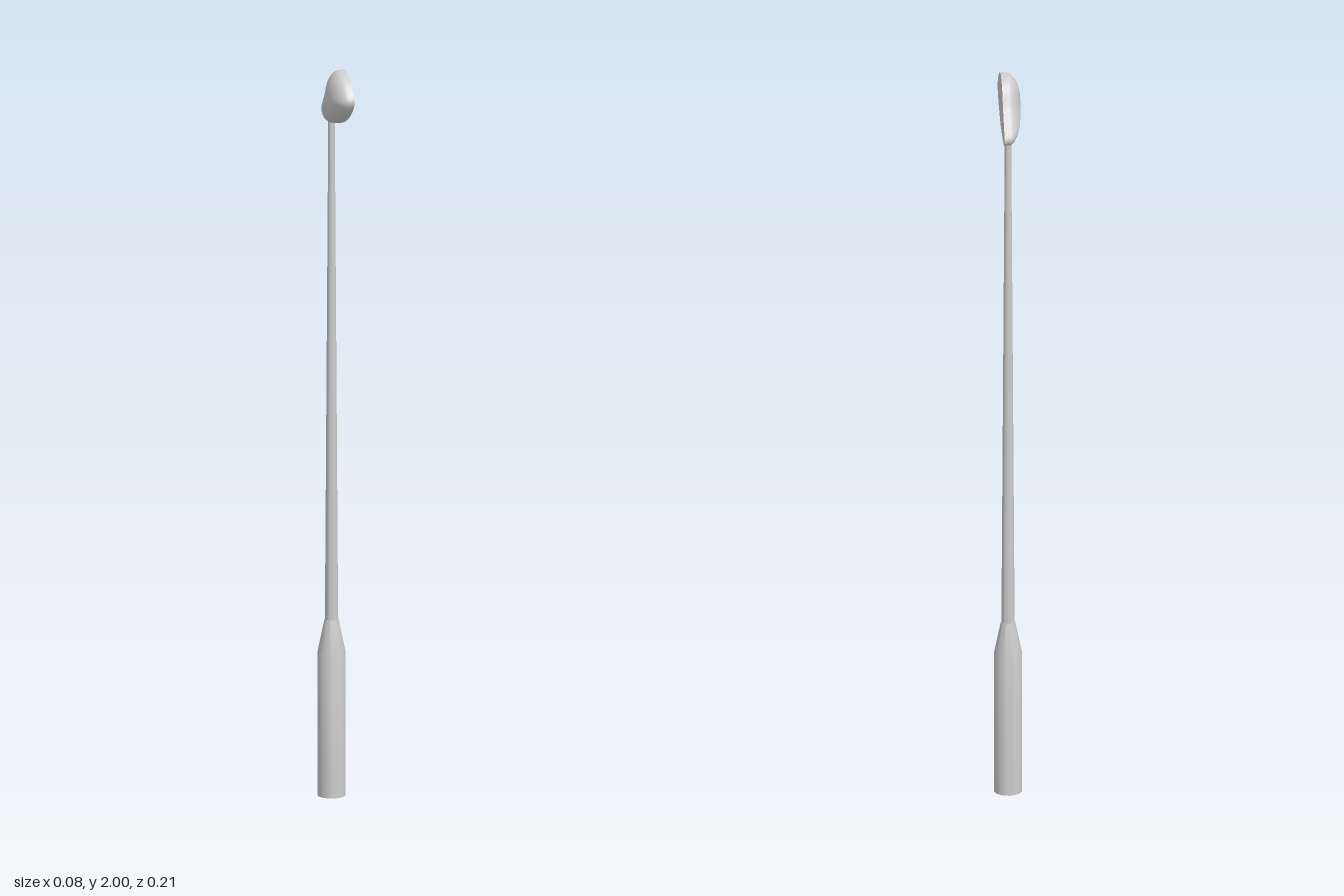
import * as THREE from 'three';
import { mergeVertices, toCreasedNormals } from 'three/addons/utils/BufferGeometryUtils.js';

const SHAFT_Z = -0.066;
const FACE_X = 0.012;
const CENTRE = { z: 0.025, y: 1.925 };

// Closed head outline as [z, y], counter-clockwise seen from +x
const OUTLINE = [
  [0.103, 1.935], [0.088, 1.908], [0.035, 1.868], [-0.035, 1.842], [-0.085, 1.839],
  [-0.102, 1.855], [-0.088, 1.882], [-0.055, 1.93], [-0.025, 1.98], [0.012, 2.0], [0.05, 1.991], [0.083, 1.966],
];

// Skin over copies of the outline; each ring is [x, scale about the centre]
function loft(rings, segments = 64) {
  const curve = new THREE.CatmullRomCurve3(OUTLINE.map(([z, y]) => new THREE.Vector3(0, y, z)), true);
  const outline = curve.getSpacedPoints(segments).slice(0, segments);
  const positions = [];
  const index = [];
  for (const [x, s] of rings) {
    for (const p of outline) {
      positions.push(x, CENTRE.y + (p.y - CENTRE.y) * s, CENTRE.z + (p.z - CENTRE.z) * s);
    }
  }
  for (let j = 0; j < rings.length - 1; j++) {
    for (let i = 0; i < segments; i++) {
      const k = (i + 1) % segments;
      const a = j * segments + i, b = (j + 1) * segments + i;
      const c = (j + 1) * segments + k, d = j * segments + k;
      index.push(a, b, c, a, c, d);
    }
  }
  let geometry = new THREE.BufferGeometry();
  geometry.setAttribute('position', new THREE.Float32BufferAttribute(positions, 3));
  geometry.setIndex(index);
  geometry = mergeVertices(geometry, 1e-6);
  geometry.computeVertexNormals();
  return geometry;
}

export function createModel() {
  const group = new THREE.Group();
  const material = new THREE.MeshStandardMaterial({ color: 0xcccccc });
  const add = (geometry, name, parent = group) => {
    const mesh = new THREE.Mesh(geometry, material);
    mesh.name = name;
    parent.add(mesh);
    return mesh;
  };
  const turned = (points) => toCreasedNormals(
    new THREE.LatheGeometry(points.map(([r, y]) => new THREE.Vector2(r, y)), 32), 0.5);

  // Grip with its tapered collar, then the slim shaft
  add(turned([[0, 0], [0.037, 0], [0.037, 0.39], [0.0185, 0.48], [0, 0.48]]), 'grip').position.z = SHAFT_Z;
  add(turned([[0.0175, 0.47], [0.0085, 1.855], [0, 1.855]]), 'shaft').position.z = SHAFT_Z;

  // Flat striking face and the domed back behind it
  const head = new THREE.Group();
  head.name = 'head';
  group.add(head);
  add(loft([[FACE_X, 0], [FACE_X, 1]]), 'strikingFace', head);
  const back = [[FACE_X, 1]];
  const steps = 14;
  for (let i = 0; i <= steps; i++) {
    const a = (i / steps) * Math.PI / 2;
    back.push([-0.04 * Math.sin(a), i === steps ? 0 : Math.cos(a)]);
  }
  add(loft(back), 'domedBack', head);

  // Small marks in staggered rows on the striking face
  const dot = new THREE.CircleGeometry(0.0022, 8).rotateY(Math.PI / 2);
  for (let row = 0; row < 6; row++) {
    const count = [3, 4, 4, 4, 3, 2][row];
    for (let i = 0; i < count; i++) {
      const z = 0.012 + (i - (count - 1) / 2) * 0.024;
      add(dot, 'faceMark', head).position.set(FACE_X + 0.0004, 1.885 + row * 0.018, z);
    }
  }
  return group;
}
